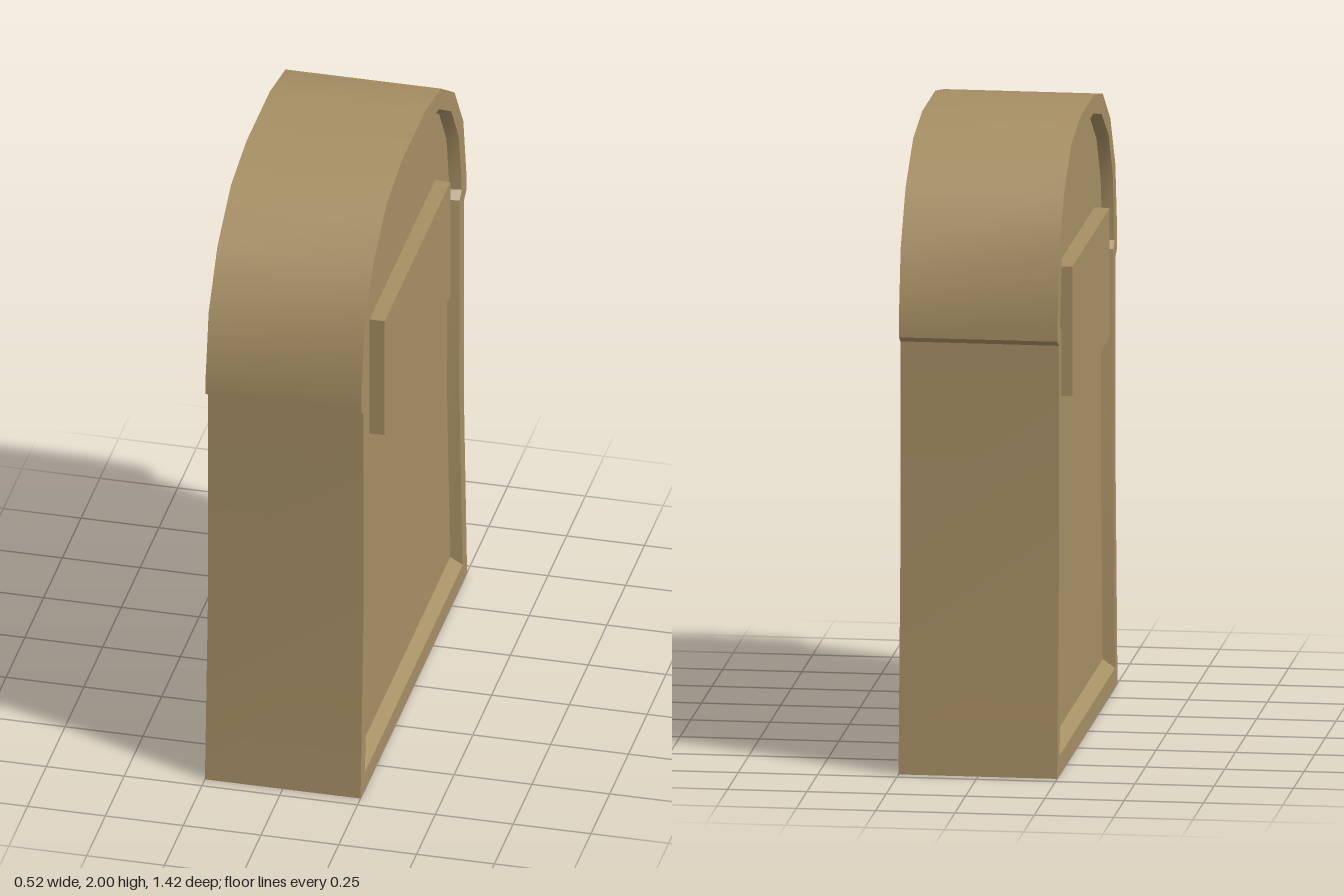
import * as THREE from 'three';
import { toCreasedNormals } from 'three/addons/utils/BufferGeometryUtils.js';

const HALF_WIDTH = 0.25;
const FLOOR_X = 0.213;

// Half outlines as [z, y], from the base up to the crown
const OUTER = [[0.71, 0], [0.667, 0.68], [0.667, 1.375], [0.7, 1.395], [0.7, 1.46],
  [0.66, 1.67], [0.543, 1.842], [0.363, 1.96], [0.156, 2]];
const RIM = [[0.651, 0.062], [0.609, 0.69], [0.609, 1.41], [0.64, 1.432], [0.637, 1.46],
  [0.602, 1.645], [0.5, 1.798], [0.337, 1.9], [0.146, 1.943]];
const FLOOR = [[0.639, 0.092], [0.597, 0.69], [0.597, 1.416], [0.628, 1.436], [0.625, 1.46],
  [0.59, 1.638], [0.491, 1.789], [0.332, 1.89], [0.143, 1.932]];

// Full closed loop: up the front, over the crown, down the back
const loop = (half) => [...half, ...half.slice().reverse().map(([z, y]) => [-z, y])];

function toGeometry(positions) {
  const geometry = new THREE.BufferGeometry();
  geometry.setAttribute('position', new THREE.Float32BufferAttribute(positions, 3));
  return toCreasedNormals(geometry, THREE.MathUtils.degToRad(30));
}

// Band of quads joining two loops
function band(halfA, xA, halfB, xB) {
  const a = loop(halfA), b = loop(halfB), positions = [];
  for (let i = 0; i < a.length; i++) {
    const j = (i + 1) % a.length;
    const a0 = [xA, a[i][1], a[i][0]], a1 = [xA, a[j][1], a[j][0]];
    const b0 = [xB, b[i][1], b[i][0]], b1 = [xB, b[j][1], b[j][0]];
    positions.push(...a0, ...a1, ...b0, ...a1, ...b1, ...b0);
  }
  return toGeometry(positions);
}

// Flat face filling a loop, facing away from the centre
function face(half, x) {
  const points = loop(half).map(([z, y]) => new THREE.Vector2(z, y));
  const positions = [];
  for (const tri of THREE.ShapeUtils.triangulateShape(points, [])) {
    const corners = tri.map((i) => points[i]);
    const facesLeft = THREE.ShapeUtils.area(corners) < 0;
    if (facesLeft !== x > 0) corners.reverse();
    for (const p of corners) positions.push(x, p.y, p.x);
  }
  return toGeometry(positions);
}

export function createModel() {
  const model = new THREE.Group();
  model.name = 'roundedHousing';
  const tan = new THREE.MeshStandardMaterial({ color: 0xa68f64 });
  tan.name = 'tan';

  const add = (name, geometry) => {
    const mesh = new THREE.Mesh(geometry, tan);
    mesh.name = name;
    model.add(mesh);
    return mesh;
  };

  // Outer wall with flared foot and overhanging arched cap
  add('outerShell', band(OUTER, HALF_WIDTH, OUTER, -HALF_WIDTH));

  // Each side: rim, sloped recess wall, recessed floor and raised plate
  for (const [side, s] of [['left', 1], ['right', -1]]) {
    const edge = s * HALF_WIDTH, floor = s * FLOOR_X;
    add(side + 'Rim', s > 0 ? band(RIM, edge, OUTER, edge) : band(OUTER, edge, RIM, edge));
    add(side + 'RecessWall', s > 0 ? band(FLOOR, floor, RIM, edge) : band(RIM, edge, FLOOR, floor));
    add(side + 'RecessFloor', face(FLOOR, floor));
    const plate = add(side + 'Plate', new THREE.BoxGeometry(0.06, 0.414, 0.874));
    plate.position.set(s * 0.232, 1.372, 0);
  }
  return model;
}
